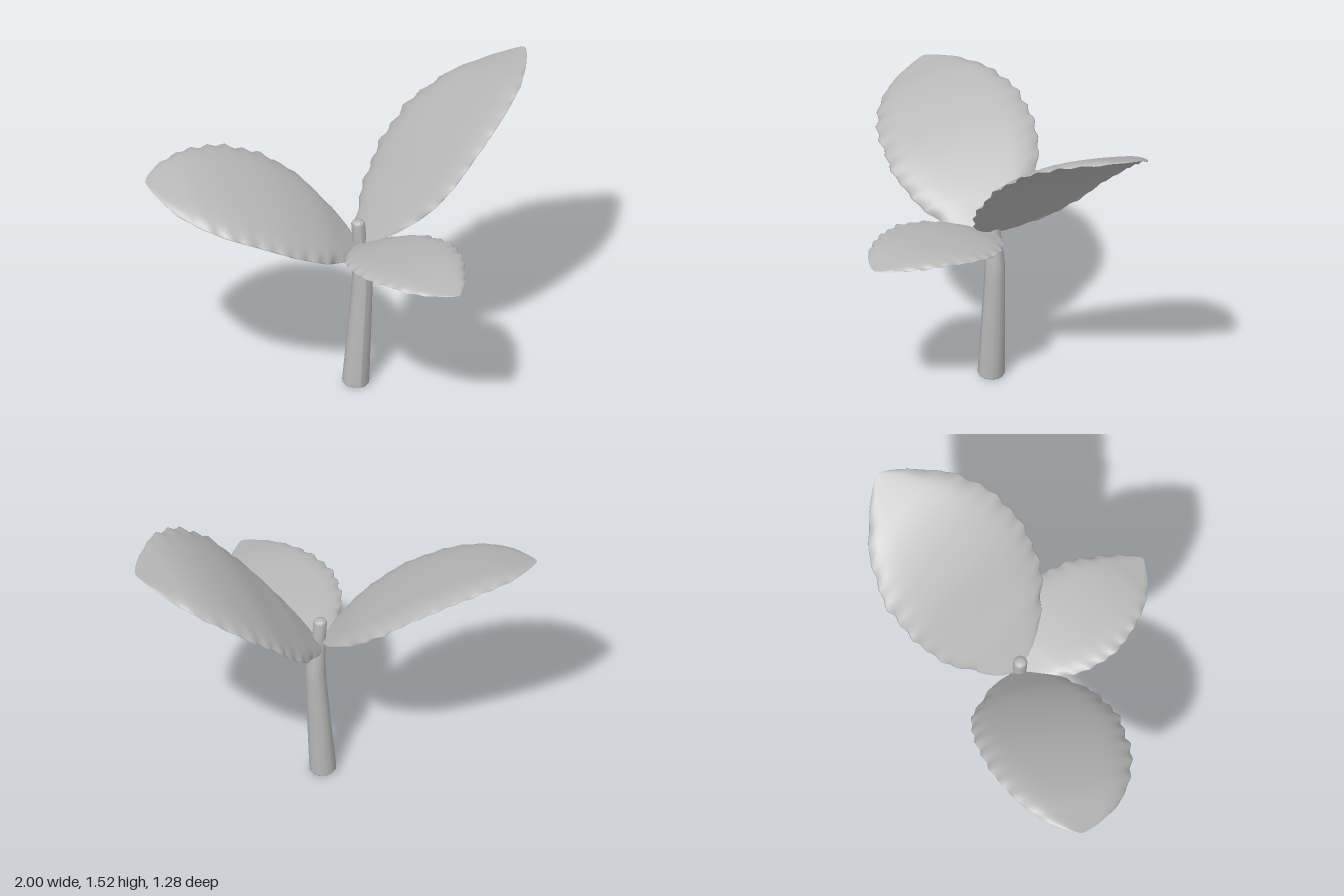
import * as THREE from 'three';

const grey = new THREE.MeshStandardMaterial({ color: 0xb8b8b8, side: THREE.DoubleSide });
grey.name = 'grey';

// Half-width at t from a profile of ten equal steps, with a round base and blunt tip
function halfWidth(profile, t) {
  const f = Math.min(t * 10, 10), i = Math.min(Math.floor(f), 9);
  if (i === 0) return profile[1] * Math.sqrt(f);
  if (i === 9) return profile[9] * Math.pow(10 - f, 0.75);
  return THREE.MathUtils.lerp(profile[i], profile[i + 1], f - i);
}

// Leaf: a thin closed pad along a spine, with a drooping, ruffled rim
function makeLeaf({ name, spinePoints, side, plusProfile, minusProfile, droop, teeth }) {
  const spine = new THREE.CatmullRomCurve3(spinePoints.map((p) => new THREE.Vector3(...p)));
  const lateral = new THREE.Vector3(...side);
  const rows = 72, around = 40, halfThickness = 0.011;
  const positions = [], index = [];
  for (let i = 0; i <= rows; i++) {
    const t = (1 - Math.cos((Math.PI * i) / rows)) / 2;
    const centre = spine.getPointAt(t);
    const normal = new THREE.Vector3().crossVectors(spine.getTangentAt(t), lateral).normalize();
    const upward = Math.sign(normal.y);
    const body = Math.min(1, 6 * t, 6 * (1 - t));
    for (let j = 0; j < around; j++) {
      // The first half of the loop is the upper face, the second the underside
      const s = -upward * Math.cos((2 * Math.PI * j) / around);
      const a = Math.abs(s);
      const layer = j < around / 2 ? 1 : -1;
      const phase = t * teeth * Math.PI * 2 + (s > 0 ? 1.3 : 0);
      const ruffle = (Math.sin(phase) + 0.5 * Math.sin(phase * 0.43)) * body * Math.pow(a, 10);
      const drop = body * droop * (0.4 * a * a + 0.6 * Math.pow(a, 8));
      const thick = layer * halfThickness * body * (1 - Math.pow(a, 8));
      const width = halfWidth(s > 0 ? plusProfile : minusProfile, t);
      const p = centre.clone()
        .addScaledVector(lateral, s * width * (1 + 0.018 * ruffle))
        .addScaledVector(normal, upward * (0.005 * ruffle - drop + thick));
      positions.push(p.x, p.y, p.z);
      if (i < rows) {
        const k = i * around + j, m = i * around + ((j + 1) % around);
        index.push(k, k + around, m, m, k + around, m + around);
      }
    }
  }
  const geometry = new THREE.BufferGeometry();
  geometry.setAttribute('position', new THREE.Float32BufferAttribute(positions, 3));
  geometry.setIndex(index);
  geometry.computeVertexNormals();
  const mesh = new THREE.Mesh(geometry, grey);
  mesh.name = name;
  return mesh;
}

// Stem: a cylinder whose rings follow a bent, tapering axis
function makeStem() {
  const rings = [ // height, centre x, radius
    [0.006, 0.015, 0.06], [0.014, 0.015, 0.066], [0.3, 0.034, 0.058], [0.54, 0.049, 0.051],
    [0.62, 0.05, 0.049], [0.76, 0.039, 0.037], [0.8, 0.034, 0.034], [0.885, 0.028, 0.034],
    [0.897, 0.028, 0.028], [0.902, 0.028, 0.012],
  ];
  const n = rings.length - 1;
  const geometry = new THREE.CylinderGeometry(1, 1, 1, 12, n);
  const pos = geometry.attributes.position;
  for (let i = 0; i < pos.count; i++) {
    const r = Math.round((pos.getY(i) + 0.5) * n);
    const [y, x, radius] = rings[r];
    const lean = r < 2 ? -0.07 * pos.getX(i) * radius : 0;
    pos.setXYZ(i, x + pos.getX(i) * radius, y + lean, -0.132 + pos.getZ(i) * radius);
  }
  geometry.computeVertexNormals();
  const mesh = new THREE.Mesh(geometry, grey);
  mesh.name = 'stem';
  return mesh;
}

// plusProfile lies towards side, minusProfile away from it
const LEAVES = [
  {
    name: 'leftLeaf',
    spinePoints: [[0.04, 0.78, -0.14], [0.25, 1.01, -0.192], [0.46, 1.235, -0.246], [0.72, 1.42, -0.318], [1, 1.52, -0.4]],
    side: [-0.0975, -0.105, -0.362],
    plusProfile: [0, 0.43, 0.68, 0.83, 0.92, 0.97, 0.985, 0.9, 0.76, 0.47, 0],
    minusProfile: [0, 0.63, 0.87, 0.99, 1.02, 1.02, 0.97, 0.87, 0.7, 0.42, 0],
    droop: 0.025, teeth: 12,
  },
  {
    name: 'rightLeaf',
    spinePoints: [[0.02, 0.78, -0.14], [-0.2, 0.965, -0.172], [-0.45, 1.11, -0.213], [-0.75, 1.21, -0.272], [-1, 1.23, -0.33]],
    side: [0.065, 0.088, -0.355],
    plusProfile: [0, 0.56, 0.8, 0.94, 0.97, 0.97, 0.92, 0.83, 0.68, 0.46, 0],
    minusProfile: [0, 0.56, 0.78, 0.91, 1, 1.02, 1.01, 0.97, 0.84, 0.61, 0],
    droop: 0.035, teeth: 12,
  },
  {
    name: 'frontLeaf',
    spinePoints: [[0.03, 0.775, -0.13], [0.08, 0.83, 0.05], [0.125, 0.861, 0.22], [0.18, 0.874, 0.42], [0.24, 0.852, 0.645]],
    side: [0.256, 0, -0.069],
    plusProfile: [0, 0.6, 0.85, 0.99, 1.05, 1.03, 0.93, 0.79, 0.61, 0.37, 0],
    minusProfile: [0, 0.53, 0.77, 0.91, 0.99, 1, 0.96, 0.84, 0.73, 0.47, 0],
    droop: 0.012, teeth: 11,
  },
];

export function createModel() {
  const group = new THREE.Group();
  group.name = 'sprout';
  group.add(makeStem(), ...LEAVES.map(makeLeaf));
  return group;
}
